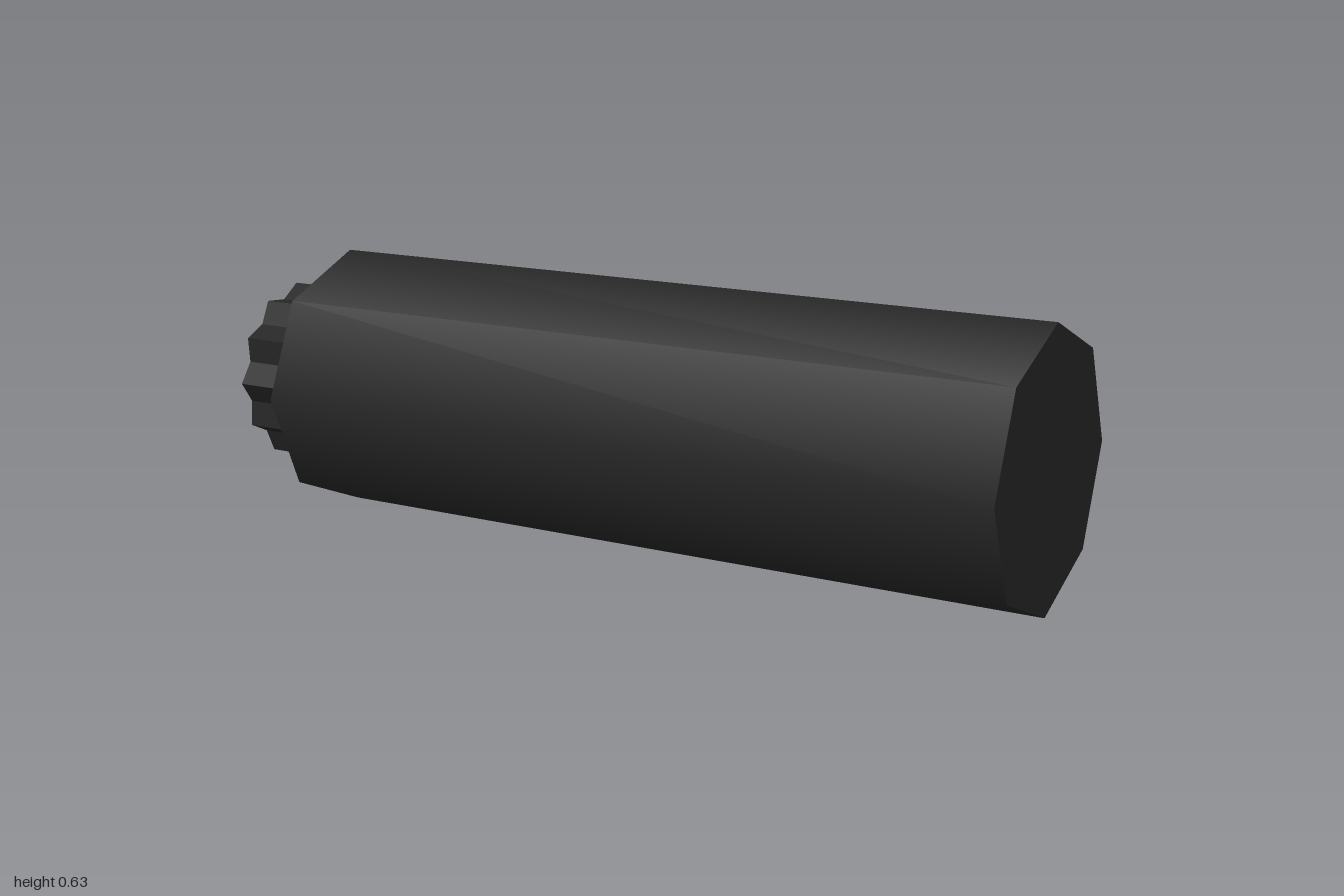
import * as THREE from 'three';

const BODY_RADIUS = 0.317;
const SHOULDER_X = -0.825;

export function createModel() {
  const model = new THREE.Group();
  model.name = 'capsuleHandle';

  const black = new THREE.MeshStandardMaterial({ color: 0x262626 });
  black.name = 'matteBlack';

  // Eight-sided barrel, smooth around its side, lying along x
  const length = 1 - SHOULDER_X;
  const barrelGeometry = new THREE.CylinderGeometry(BODY_RADIUS, BODY_RADIUS, length, 8);
  barrelGeometry.rotateZ(-Math.PI / 2);
  const barrel = new THREE.Mesh(barrelGeometry, black);
  barrel.name = 'barrel';
  barrel.position.set(SHOULDER_X + length / 2, BODY_RADIUS, 0);
  model.add(barrel);

  // Fluted end knob: twelve ridges alternating with shallow grooves
  const ridges = 12;
  const outline = [];
  for (let i = 0; i < ridges * 2; i++) {
    const angle = (i * Math.PI) / ridges;
    const radius = i % 2 === 0 ? 0.219 : 0.191;
    outline.push(new THREE.Vector2(Math.cos(angle) * radius, Math.sin(angle) * radius));
  }
  const knobGeometry = new THREE.ExtrudeGeometry(new THREE.Shape(outline), {
    depth: 1 + SHOULDER_X,
    bevelEnabled: false,
  });
  knobGeometry.rotateY(-Math.PI / 2);
  const knob = new THREE.Mesh(knobGeometry, black);
  knob.name = 'flutedKnob';
  knob.position.set(SHOULDER_X, BODY_RADIUS, 0);
  model.add(knob);

  return model;
}
